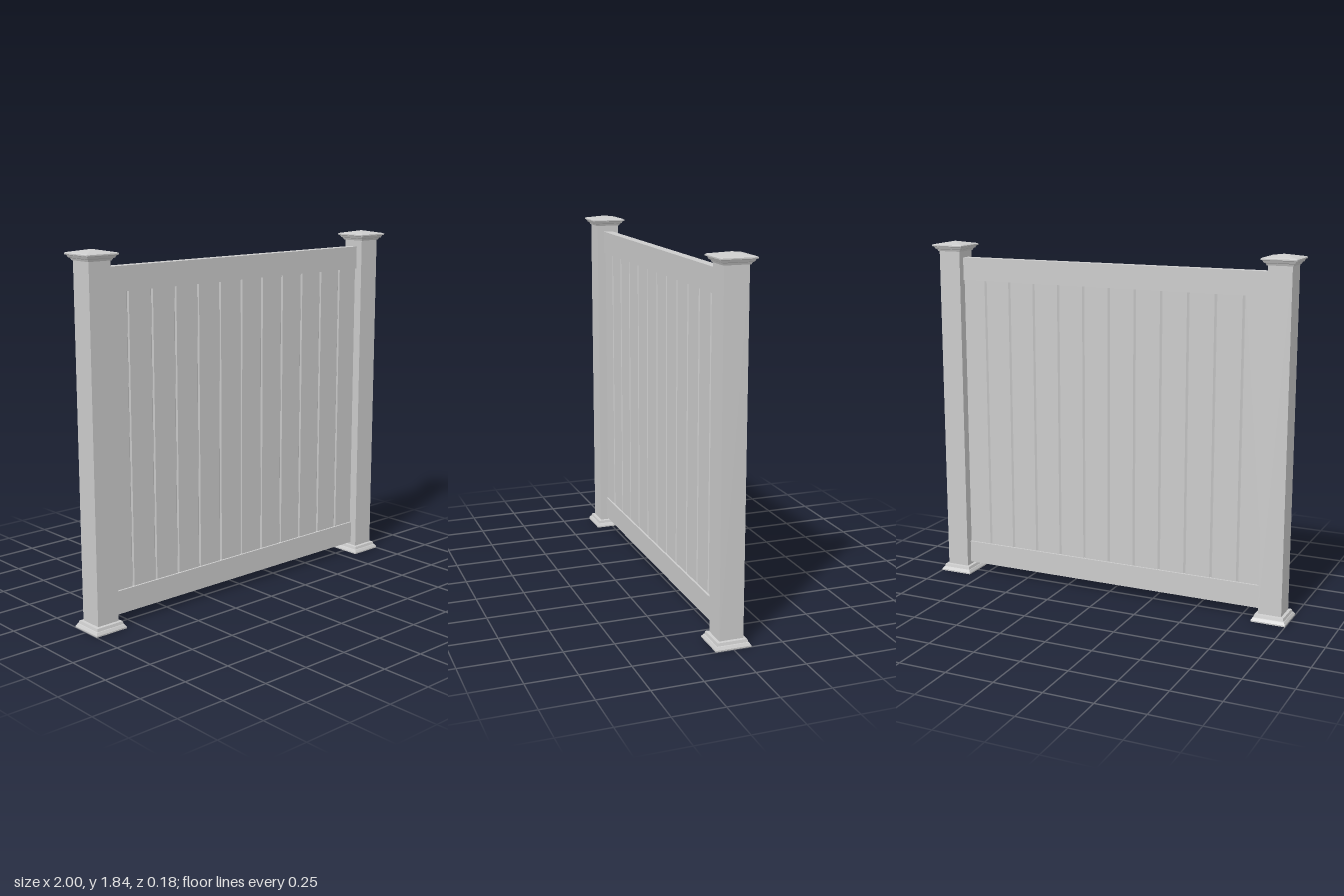
import * as THREE from 'three';

const material = new THREE.MeshStandardMaterial({ color: 0xcccccc, flatShading: true });

function addMesh(parent, name, geometry, x = 0, y = 0, z = 0) {
  const mesh = new THREE.Mesh(geometry, material);
  mesh.name = name;
  mesh.position.set(x, y, z);
  parent.add(mesh);
  return mesh;
}

// Square moulding: profile of [half width, height] swept round four sides
function squareMoulding(profile) {
  const points = profile.map(([half, y]) => new THREE.Vector2(half * Math.SQRT2, y));
  const geometry = new THREE.LatheGeometry(points, 4).rotateY(Math.PI / 4).toNonIndexed();
  geometry.computeVertexNormals();
  return geometry;
}

// Upright board with chamfered edges, so neighbours meet in a V groove
function boardGeometry(width, depth, height) {
  const w = width / 2, d = depth / 2, cx = 0.007, cz = 0.006;
  const outline = [
    [-w, -d + cz], [-w + cx, -d], [w - cx, -d], [w, -d + cz],
    [w, d - cz], [w - cx, d], [-w + cx, d], [-w, d - cz],
  ].map(([x, y]) => new THREE.Vector2(x, y));
  return new THREE.ExtrudeGeometry(new THREE.Shape(outline), { depth: height, bevelEnabled: false })
    .rotateX(-Math.PI / 2);
}

export function createModel() {
  const fence = new THREE.Group();
  fence.name = 'fencePanel';

  // Posts with stepped skirts and pyramid caps
  const postGeo = new THREE.BoxGeometry(0.122, 1.79, 0.122);
  const skirtGeo = squareMoulding([
    [0.062, 0.026], [0.07, 0.022], [0.083, 0], [0.09, 0], [0.09, 0.007],
    [0.082, 0.02], [0.079, 0.022], [0.075, 0.036], [0.061, 0.038],
  ]);
  const capGeo = squareMoulding([
    [0, 1.788], [0.066, 1.788], [0.07, 1.798], [0.077, 1.801], [0.082, 1.812],
    [0.09, 1.815], [0.09, 1.821], [0.083, 1.825], [0, 1.84],
  ]);
  for (const side of [-1, 1]) {
    const post = new THREE.Group();
    post.name = side > 0 ? 'leftPost' : 'rightPost';
    post.position.x = side * 0.91;
    addMesh(post, 'postShaft', postGeo, 0, 0.898, 0);
    addMesh(post, 'postSkirt', skirtGeo);
    addMesh(post, 'postCap', capGeo);
    fence.add(post);
  }

  // Horizontal rails
  const railGeo = new THREE.BoxGeometry(1.72, 0.12, 0.05);
  addMesh(fence, 'bottomRail', railGeo, 0, 0.112, 0);
  addMesh(fence, 'topRail', railGeo, 0, 1.695, 0);

  // Grooved infill boards, set between the rails
  const boards = new THREE.Group();
  boards.name = 'infillBoards';
  const count = 12, pitch = 0.144;
  const boardGeo = boardGeometry(pitch, 0.03, 1.5);
  for (let i = 0; i < count; i++) {
    addMesh(boards, 'board', boardGeo, (i - (count - 1) / 2) * pitch, 0.155, 0);
  }
  fence.add(boards);

  return fence;
}
